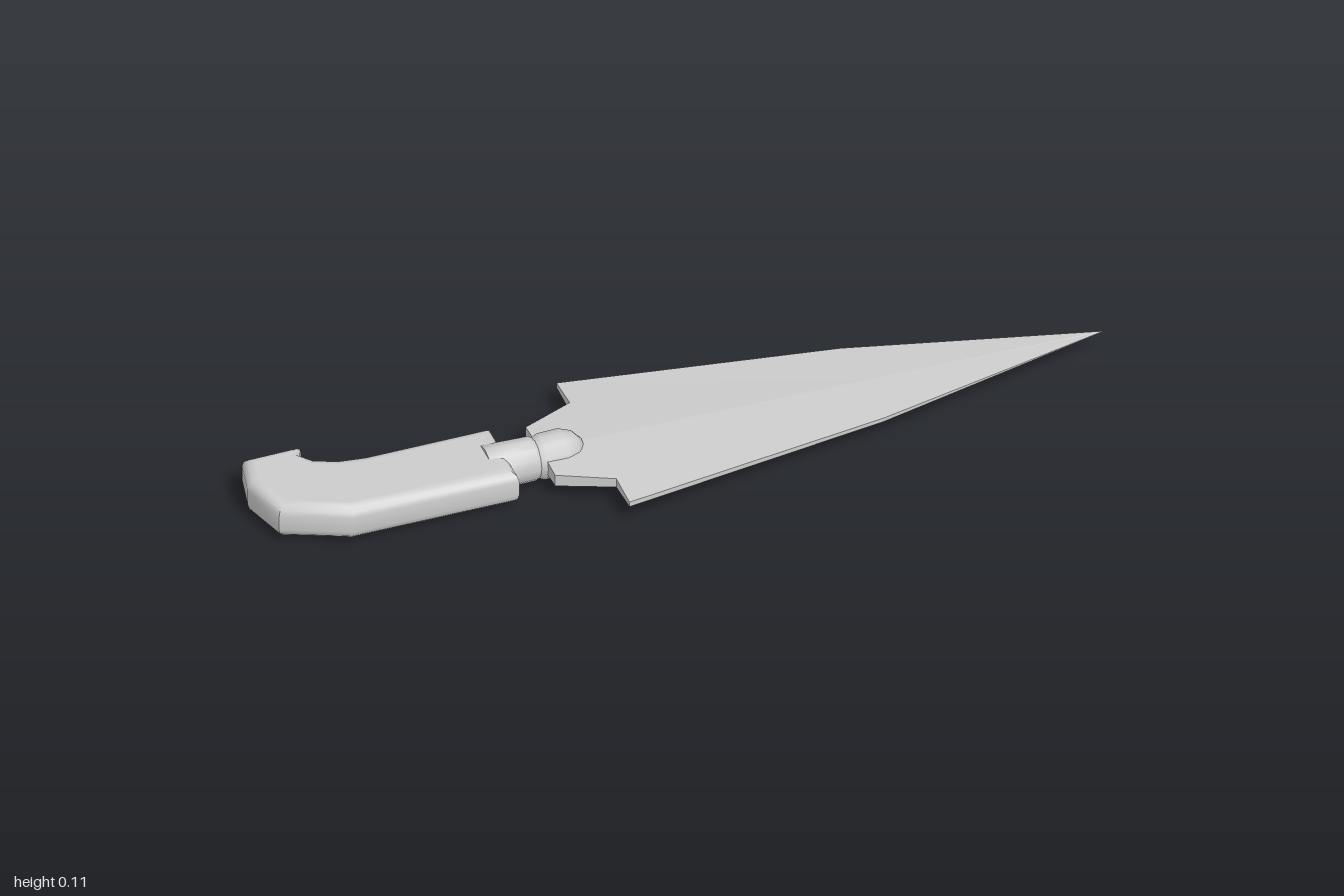
import * as THREE from 'three';
import { toCreasedNormals } from 'three/addons/utils/BufferGeometryUtils.js';

const MID = 0.056; // height of the dagger's centre plane

function addMesh(group, name, geometry, flatShading = false) {
  const material = new THREE.MeshStandardMaterial({ color: 0xcccccc, flatShading });
  const mesh = new THREE.Mesh(geometry, material);
  mesh.name = name;
  group.add(mesh);
  return mesh;
}

// Blade: six-sided sections along x, with a central ridge and thin blunt edges.
function bladeGeometry() {
  // x, half width, half thickness at the edge, half thickness at the ridge
  const stations = [
    [-0.335, 0.095, 0.015, 0.02],
    [-0.21, 0.15, 0.0117, 0.02],
    [-0.21, 0.235, 0.0065, 0.02],
    [0.43, 0.138, 0.005, 0.0115],
    [1.0, 0.001, 0.0005, 0.001],
  ];
  const loops = stations.map(([x, w, e, r]) => [
    [x, r, 0], [x, e, w], [x, -e, w], [x, -r, 0], [x, -e, -w], [x, e, -w],
  ]);
  const pos = [];
  const tri = (...corners) => corners.forEach((p) => pos.push(...p));
  for (let k = 0; k < loops.length - 1; k++) {
    for (let i = 0; i < 6; i++) {
      const j = (i + 1) % 6;
      tri(loops[k][i], loops[k][j], loops[k + 1][j]);
      tri(loops[k][i], loops[k + 1][j], loops[k + 1][i]);
    }
  }
  const first = loops[0], last = loops[loops.length - 1];
  for (let i = 1; i < 5; i++) {
    tri(first[0], first[i + 1], first[i]);
    tri(last[0], last[i], last[i + 1]);
  }
  const geometry = new THREE.BufferGeometry();
  geometry.setAttribute('position', new THREE.Float32BufferAttribute(pos, 3));
  geometry.computeVertexNormals();
  return geometry;
}

// Handle: hooked outline with rounded rims and flat faces above and below.
function handleGeometry() {
  const outline = [ // x, z
    [-0.42, 0.095], [-0.42, -0.094], [-0.72, -0.092], [-0.78, -0.1],
    [-0.828, -0.12], [-0.85, -0.147], [-0.84, -0.175], [-0.98, -0.175],
    [-1.0, -0.085], [-0.967, 0.03], [-0.815, 0.095],
  ];
  const shape = new THREE.Shape(outline.map(([x, z]) => new THREE.Vector2(x, -z)));
  const bevel = 0.026;
  const geometry = toCreasedNormals(new THREE.ExtrudeGeometry(shape, {
    depth: 0.09 - 2 * bevel,
    bevelThickness: bevel,
    bevelSize: bevel,
    bevelOffset: -bevel,
    bevelSegments: 3,
  }), 0.75);
  // keep the broad faces perfectly flat
  const p = geometry.attributes.position, n = geometry.attributes.normal;
  const top = 0.09 - bevel - 1e-4, bottom = -bevel + 1e-4;
  for (let i = 0; i < p.count; i += 3) {
    const z = [0, 1, 2].map((k) => p.getZ(i + k));
    const side = Math.min(...z) > top ? 1 : Math.max(...z) < bottom ? -1 : 0;
    if (side) for (let k = 0; k < 3; k++) n.setXYZ(i + k, 0, 0, side);
  }
  geometry.rotateX(-Math.PI / 2);
  geometry.translate(0, MID - 0.045 + bevel, 0);
  return geometry;
}

// Turned pieces lying along x, slightly narrower in z than in y.
function turnedGeometry(profile) {
  const points = profile.map(([x, r]) => new THREE.Vector2(r, x));
  const geometry = new THREE.LatheGeometry(points, 12);
  geometry.rotateZ(-Math.PI / 2);
  geometry.scale(1, 1, 0.95);
  geometry.translate(0, MID, 0);
  return toCreasedNormals(geometry, 0.75);
}

export function createModel() {
  const dagger = new THREE.Group();
  dagger.name = 'dagger';

  addMesh(dagger, 'blade', bladeGeometry(), true).position.y = MID;
  addMesh(dagger, 'handle', handleGeometry());

  // Collar joining the handle to the blade
  addMesh(dagger, 'collar', turnedGeometry([
    [-0.467, 0], [-0.467, 0.054], [-0.425, 0.054], [-0.355, 0.052], [-0.345, 0.045], [-0.345, 0],
  ]));
  // Rounded nose gripping the root of the blade
  addMesh(dagger, 'bladeSocket', turnedGeometry([
    [-0.35, 0], [-0.35, 0.046], [-0.335, 0.054], [-0.285, 0.055],
    [-0.255, 0.044], [-0.238, 0.025], [-0.235, 0],
  ]));

  return dagger;
}
